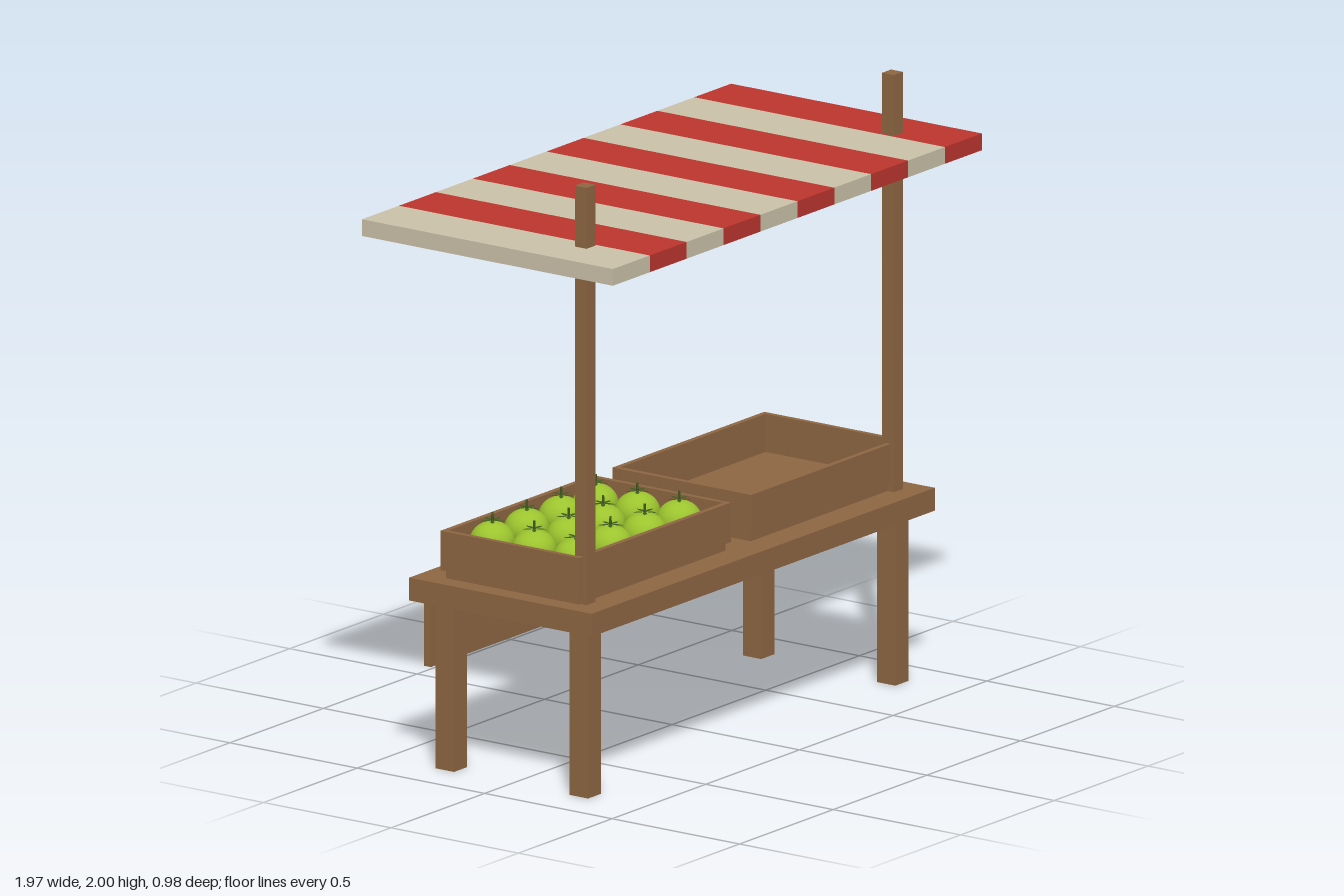
import * as THREE from 'three';

const mat = (name, color) => {
  const m = new THREE.MeshStandardMaterial({ color });
  m.name = name;
  return m;
};

export function createModel() {
  const wood = mat('wood', 0x8e6642);
  const red = mat('red cloth', 0xbc342e);
  const cream = mat('cream cloth', 0xcac1a9);
  const fruitGreen = mat('fruit green', 0x9cc42e);
  const leafGreen = mat('leaf green', 0x3f5a1e);
  leafGreen.side = THREE.DoubleSide;

  const model = new THREE.Group();
  model.name = 'marketStall';

  // Box given by its min and max corners
  const box = (parent, name, material, [x0, y0, z0], [x1, y1, z1]) => {
    const mesh = new THREE.Mesh(new THREE.BoxGeometry(x1 - x0, y1 - y0, z1 - z0), material);
    mesh.position.set((x0 + x1) / 2, (y0 + y1) / 2, (z0 + z1) / 2);
    mesh.name = name;
    parent.add(mesh);
    return mesh;
  };

  // Table
  box(model, 'tableTop', wood, [-0.916, 0.555, -0.358], [0.916, 0.63, 0.358]);
  box(model, 'backPanel', wood, [-0.8, 0.31, -0.384], [0.8, 0.572, -0.358]);
  for (const s of [-1, 1]) {
    for (const t of [-1, 1]) {
      const leg = box(model, 'leg', wood, [-0.035, 0, -0.036], [0.035, 0.555, 0.036]);
      leg.position.x = s * 0.82;
      leg.position.z = t * 0.263;
    }
    const post = box(model, 'canopyPost', wood, [-0.024, 0.63, -0.023], [0.024, 2, 0.023]);
    post.position.x = s * 0.82;
    post.position.z = 0.262;
  }

  // Striped canopy
  const canopy = new THREE.Group();
  canopy.name = 'canopy';
  model.add(canopy);
  const stripe = 0.197;
  for (let i = 0; i < 10; i++) {
    const x = -0.985 + i * stripe;
    box(canopy, 'canopyStripe', i % 2 ? red : cream, [x, 1.745, -0.492], [x + stripe, 1.8, 0.492]);
  }

  // Open crates: inset floor and four walls
  const w = 0.405, d = 0.272, t = 0.018;
  for (const x of [-0.46, 0.458]) {
    const crate = new THREE.Group();
    crate.name = 'crate';
    crate.position.x = x;
    model.add(crate);
    box(crate, 'crateFloor', wood, [-w + 0.013, 0.63, -d + 0.012], [w - 0.013, 0.662, d - 0.012]);
    for (const s of [-1, 1]) {
      const end = box(crate, 'crateEnd', wood, [-t / 2, 0.657, -d], [t / 2, 0.787, d]);
      end.position.x = s * (w - t / 2);
      const side = box(crate, 'crateSide', wood, [-w + t, 0.657, -t / 2], [w - t, 0.787, t / 2]);
      side.position.z = s * (d - t / 2);
    }
  }

  // Fruit with a leafy crown and stem
  const bodyGeo = new THREE.SphereGeometry(1, 20, 14).scale(0.073, 0.063, 0.073);
  const stemGeo = new THREE.CylinderGeometry(0.004, 0.005, 0.036, 6);
  const leafShape = new THREE.Shape();
  leafShape.moveTo(0, 0);
  leafShape.quadraticCurveTo(0.022, 0.014, 0.042, 0);
  leafShape.quadraticCurveTo(0.022, -0.014, 0, 0);
  const leafGeo = new THREE.ShapeGeometry(leafShape, 4).rotateX(-Math.PI / 2);
  for (let i = 0; i < 4; i++) {
    for (let j = -1; j <= 1; j++) {
      const fruit = new THREE.Group();
      fruit.name = 'fruit';
      fruit.position.set(-0.735 + i * 0.1835, 0.743, j * 0.164);
      const body = new THREE.Mesh(bodyGeo, fruitGreen);
      body.name = 'fruitBody';
      const stem = new THREE.Mesh(stemGeo, leafGreen);
      stem.name = 'stem';
      stem.position.y = 0.075;
      fruit.add(body, stem);
      for (let k = 0; k < 5; k++) {
        const leaf = new THREE.Mesh(leafGeo, leafGreen);
        leaf.name = 'leaf';
        leaf.position.y = 0.067;
        leaf.rotation.y = (k * Math.PI * 2) / 5;
        fruit.add(leaf);
      }
      model.add(fruit);
    }
  }
  return model;
}
